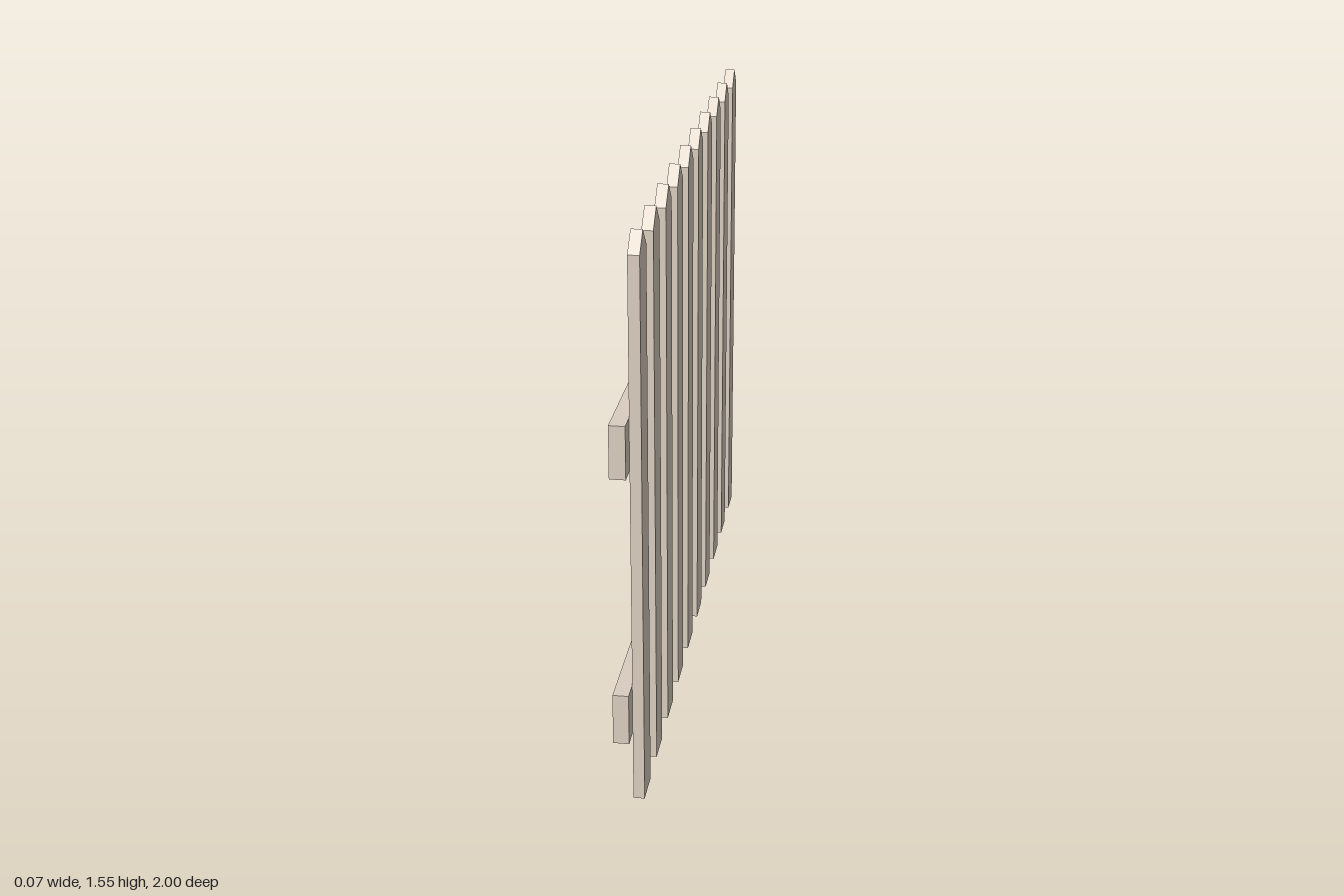
import * as THREE from 'three';

export function createModel() {
  const fence = new THREE.Group();
  fence.name = 'picketFence';
  const wood = new THREE.MeshStandardMaterial({ color: 0xd9cdbf, flatShading: true });

  // Pointed board, cut as a flat profile and turned to face +x
  const halfWidth = 0.048, shoulder = 1.505, peak = 1.555;
  const profile = new THREE.Shape([
    new THREE.Vector2(-halfWidth, 0),
    new THREE.Vector2(halfWidth, 0),
    new THREE.Vector2(halfWidth, shoulder),
    new THREE.Vector2(0, peak),
    new THREE.Vector2(-halfWidth, shoulder),
  ]);
  const picketGeometry = new THREE.ExtrudeGeometry(profile, { depth: 0.03, bevelEnabled: false });
  picketGeometry.rotateY(Math.PI / 2);

  // Row of ten evenly spaced pickets
  const pickets = new THREE.Group();
  pickets.name = 'pickets';
  for (let i = 0; i < 10; i++) {
    const picket = new THREE.Mesh(picketGeometry, wood);
    picket.name = `picket${i + 1}`;
    picket.position.set(0.006, 0, 0.898 - i * 0.2);
    pickets.add(picket);
  }
  fence.add(pickets);

  // Two rails running behind the pickets
  const railGeometry = new THREE.BoxGeometry(0.042, 0.142, 2);
  for (const [name, y] of [['lowerRail', 0.271], ['upperRail', 1.02]]) {
    const rail = new THREE.Mesh(railGeometry, wood);
    rail.name = name;
    rail.position.set(-0.015, y, 0);
    fence.add(rail);
  }

  return fence;
}
